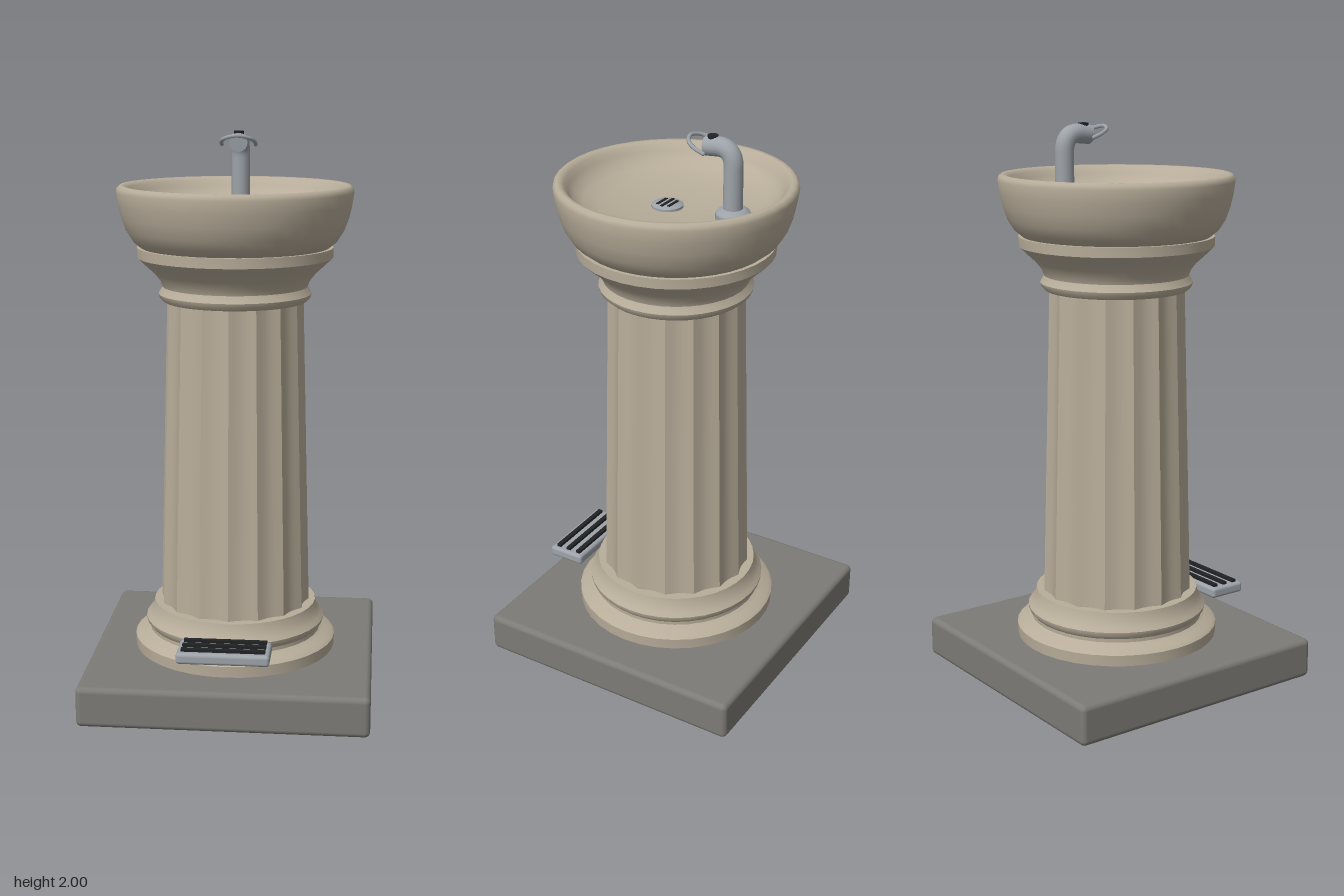
import * as THREE from 'three';
import { toCreasedNormals } from 'three/addons/utils/BufferGeometryUtils.js';
import { RoundedBoxGeometry } from 'three/addons/geometries/RoundedBoxGeometry.js';

const paint = (color) => new THREE.MeshStandardMaterial({ color });
const stone = paint(0xb8ad9a);
const slab = paint(0x7d7b76);
const metal = paint(0x9da3a9);
const dark = paint(0x202224);

function add(parent, name, geometry, material, x = 0, y = 0, z = 0) {
  const mesh = new THREE.Mesh(geometry, material);
  mesh.name = name;
  mesh.position.set(x, y, z);
  parent.add(mesh);
  return mesh;
}

// Turned part from [radius, height] pairs, listed from the bottom up
function turned(points, sides = 36, crease = 0.65) {
  const profile = points.map(([r, y]) => new THREE.Vector2(r, y));
  return toCreasedNormals(new THREE.LatheGeometry(profile, sides), crease);
}

// Tapered shaft with shallow concave flutes
function flutedShaft(bottomRadius, topRadius, height, flutes, depth) {
  const geo = new THREE.CylinderGeometry(topRadius, bottomRadius, height, flutes * 6, 1, true);
  const p = geo.attributes.position;
  for (let i = 0; i < p.count; i++) {
    const x = p.getX(i), z = p.getZ(i);
    const r = Math.hypot(x, z);
    const k = 1 - (depth / r) * Math.abs(Math.sin(Math.atan2(z, x) * flutes / 2));
    p.setX(i, x * k);
    p.setZ(i, z * k);
  }
  return toCreasedNormals(geo, 0.35);
}

export function createModel() {
  const model = new THREE.Group();
  model.name = 'drinkingFountain';

  // Square base slab
  add(model, 'baseSlab', new RoundedBoxGeometry(1.015, 0.145, 1.015, 3, 0.02), slab, 0, 0.0725, 0);

  // Pedestal: moulded foot, fluted shaft, capital
  add(model, 'footMoulding', turned([
    [0, 0.14], [0.365, 0.14], [0.367, 0.185], [0.355, 0.195], [0.328, 0.202], [0.312, 0.212],
    [0.312, 0.225], [0.324, 0.24], [0.326, 0.253], [0.316, 0.265], [0.302, 0.285], [0.295, 0.316], [0, 0.316],
  ]), stone);
  add(model, 'columnShaft', flutedShaft(0.272, 0.242, 1.13, 16, 0.013), stone, 0, 0.87, 0);
  add(model, 'capital', turned([
    [0, 1.42], [0.252, 1.42], [0.266, 1.433], [0.27, 1.447], [0.262, 1.46], [0.256, 1.472],
    [0.262, 1.49], [0.285, 1.52], [0.318, 1.55], [0.344, 1.575], [0.345, 1.61], [0, 1.61],
  ]), stone);

  // Basin with rolled rim and shallow dish
  add(model, 'basin', turned([
    [0, 1.605], [0.325, 1.605], [0.358, 1.632], [0.381, 1.668], [0.398, 1.715], [0.408, 1.76], [0.414, 1.803],
    [0.411, 1.817], [0.401, 1.825], [0.388, 1.824], [0.375, 1.814], [0.363, 1.794], [0.345, 1.771],
    [0.315, 1.753], [0.26, 1.738], [0.18, 1.727], [0.09, 1.72], [0, 1.718],
  ], 40, 0.8), stone);

  // Slotted drain
  const drain = new THREE.Group();
  drain.name = 'drain';
  drain.position.set(0, 1.718, 0.035);
  model.add(drain);
  add(drain, 'drainPlate', turned([[0.055, -0.01], [0.055, 0.009], [0.048, 0.014], [0, 0.014]], 20), metal);
  for (const [z, width] of [[-0.022, 0.06], [0, 0.08], [0.022, 0.06]]) {
    add(drain, 'drainSlot', new THREE.BoxGeometry(width, 0.006, 0.01), dark, 0, 0.0135, z);
  }

  // Faucet: flange, bent spout, outlet, mouth guard
  const faucet = new THREE.Group();
  faucet.name = 'faucet';
  model.add(faucet);
  add(faucet, 'flange', turned([
    [0.06, 1.715], [0.06, 1.748], [0.052, 1.758], [0.038, 1.764], [0, 1.764],
  ], 14), metal, 0, 0, -0.22);

  const bend = new THREE.CurvePath();
  const v = (x, y, z) => new THREE.Vector3(x, y, z);
  bend.add(new THREE.LineCurve3(v(0, 1.74, -0.218), v(0, 1.905, -0.218)));
  bend.add(new THREE.QuadraticBezierCurve3(v(0, 1.905, -0.218), v(0, 1.967, -0.218), v(0, 1.967, -0.165)));
  bend.add(new THREE.LineCurve3(v(0, 1.967, -0.165), v(0, 1.962, -0.116)));
  add(faucet, 'spout', new THREE.TubeGeometry(bend, 36, 0.033, 16, false), metal);
  const cap = add(faucet, 'spoutEnd', new THREE.CircleGeometry(0.033, 16), metal, 0, 1.962, -0.116);
  cap.rotation.x = 0.1;
  add(faucet, 'outlet', new THREE.CylinderGeometry(0.018, 0.018, 0.02, 12), dark, 0, 1.992, -0.14);

  const guardPath = new THREE.CatmullRomCurve3([
    v(-0.06, 1.955, -0.138), v(-0.059, 1.967, -0.105), v(-0.042, 1.98, -0.073), v(0, 1.989, -0.057),
    v(0.042, 1.98, -0.073), v(0.059, 1.967, -0.105), v(0.06, 1.955, -0.138),
  ]);
  add(faucet, 'mouthGuard', new THREE.TubeGeometry(guardPath, 24, 0.007, 8, false), metal);
  for (const side of [-1, 1]) {
    add(faucet, 'guardTip', new THREE.SphereGeometry(0.007, 8, 6), metal, side * 0.06, 1.955, -0.138);
  }

  // Foot pedal with grip strips and a short strut
  const pedal = new THREE.Group();
  pedal.name = 'footPedal';
  model.add(pedal);
  add(pedal, 'pedalPlate', new RoundedBoxGeometry(0.322, 0.04, 0.142, 3, 0.012), metal, 0, 0.252, 0.404);
  for (const z of [0.357, 0.401, 0.445]) {
    add(pedal, 'gripStrip', new THREE.BoxGeometry(0.29, 0.014, 0.017), dark, 0, 0.275, z);
  }
  const from = v(0, 0.2, 0.285), to = v(0, 0.245, 0.385);
  const strut = add(pedal, 'pedalStrut',
    new THREE.CylinderGeometry(0.02, 0.02, from.distanceTo(to), 12), dark);
  strut.position.copy(from).lerp(to, 0.5);
  strut.quaternion.setFromUnitVectors(v(0, 1, 0), to.clone().sub(from).normalize());

  return model;
}
